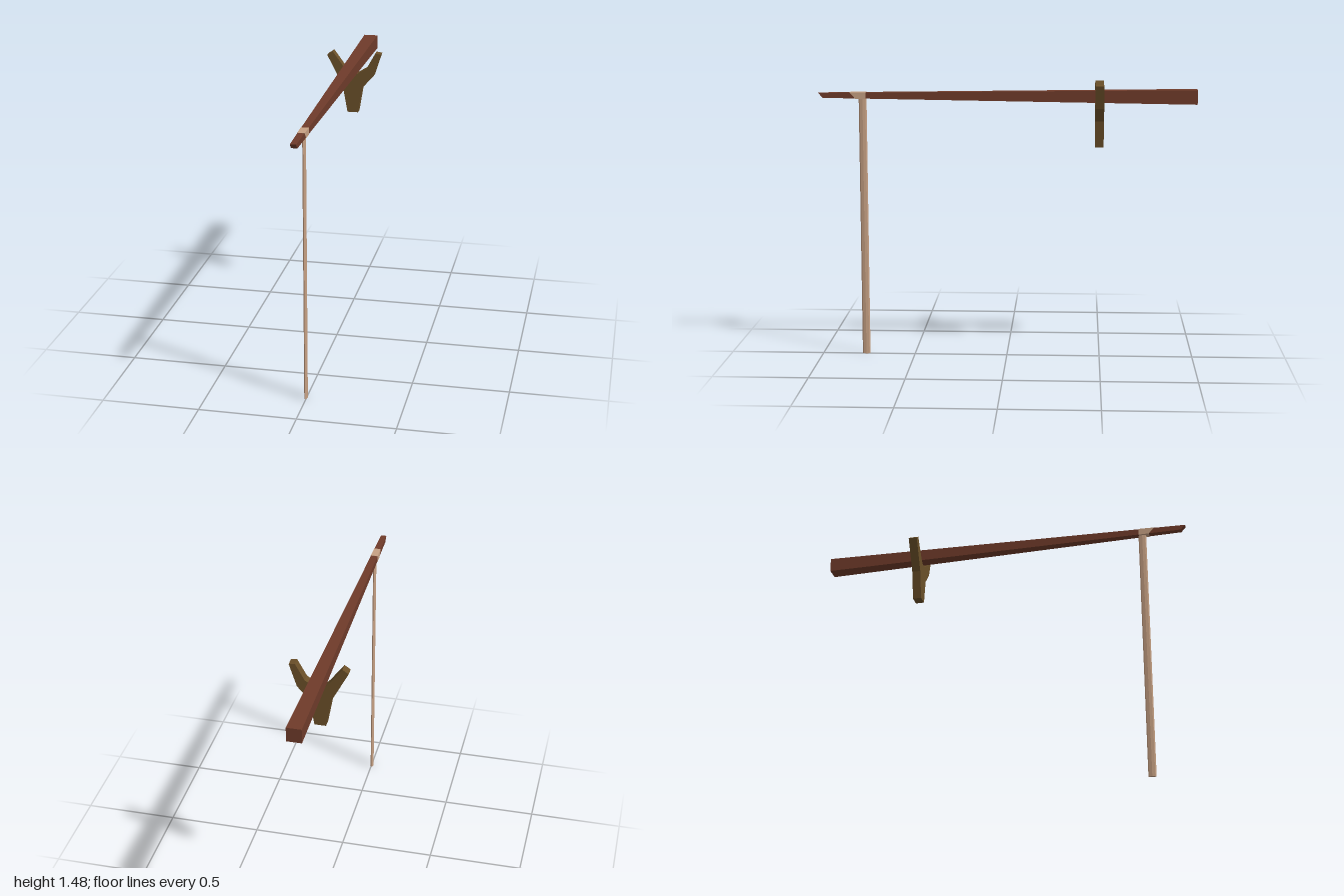
import * as THREE from 'three';

const wood = new THREE.MeshStandardMaterial({ color: 0x6f3b2a, flatShading: true });
wood.name = 'redWood';
const forkWood = new THREE.MeshStandardMaterial({ color: 0x6b5029, flatShading: true });
forkWood.name = 'oliveWood';
const cord = new THREE.MeshStandardMaterial({ color: 0xc6a083, flatShading: true });
cord.name = 'paleCord';

const CX = -0.003;
const lerp = THREE.MathUtils.lerp;

// Square bar following the beam taper between z0 and z1; `grow` fattens it,
// `cut` pulls the lower front edge back.
function taperedBar(name, z0, z1, grow, cut, material) {
  const g = new THREE.BoxGeometry(2, 2, 1);
  const p = g.attributes.position;
  for (let i = 0; i < p.count; i++) {
    const front = p.getZ(i) > 0;
    const low = p.getY(i) < 0;
    const z = (front ? z1 : z0) - (front && low ? cut : 0);
    const t = (z + 1) / 2;
    p.setXYZ(
      i,
      CX + p.getX(i) * (lerp(0.038, 0.015, t) + grow),
      1.408 + p.getY(i) * (lerp(0.038, 0.013, t) + grow),
      z
    );
  }
  g.computeVertexNormals();
  const mesh = new THREE.Mesh(g, material);
  mesh.name = name;
  return mesh;
}

export function createModel() {
  const model = new THREE.Group();
  model.name = 'forkedRestAndPole';

  // Long tapering beam with a bevelled tip
  model.add(taperedBar('beam', -1, 1, 0, 0.025, wood));

  // Cord wrapping near the tip
  model.add(taperedBar('cordWrap', 0.747, 0.832, 0.0015, 0.03, cord));

  // Hanging flattened cord
  const cordGeo = new THREE.CylinderGeometry(1, 1, 1.4, 8);
  cordGeo.scale(0.0085, 1, 0.021);
  const hanging = new THREE.Mesh(cordGeo, cord);
  hanging.name = 'hangingCord';
  hanging.position.set(CX, 0.7, 0.765);
  model.add(hanging);

  // Forked branch cradling the beam
  const outline = [
    [-0.035, 1.141], [0.024, 1.141], [0.047, 1.282], [0.11, 1.353],
    [0.149, 1.475], [0.118, 1.48], [0.07, 1.392], [0.02, 1.361],
    [-0.024, 1.361], [-0.05, 1.388], [-0.118, 1.48], [-0.149, 1.459],
    [-0.063, 1.294]
  ];
  const shape = new THREE.Shape(outline.map(([x, y]) => new THREE.Vector2(x, y)));
  const forkGeo = new THREE.ExtrudeGeometry(shape, { depth: 0.046, bevelEnabled: false });
  const fork = new THREE.Mesh(forkGeo, forkWood);
  fork.name = 'forkedBranch';
  fork.position.z = -0.512;
  model.add(fork);

  return model;
}
